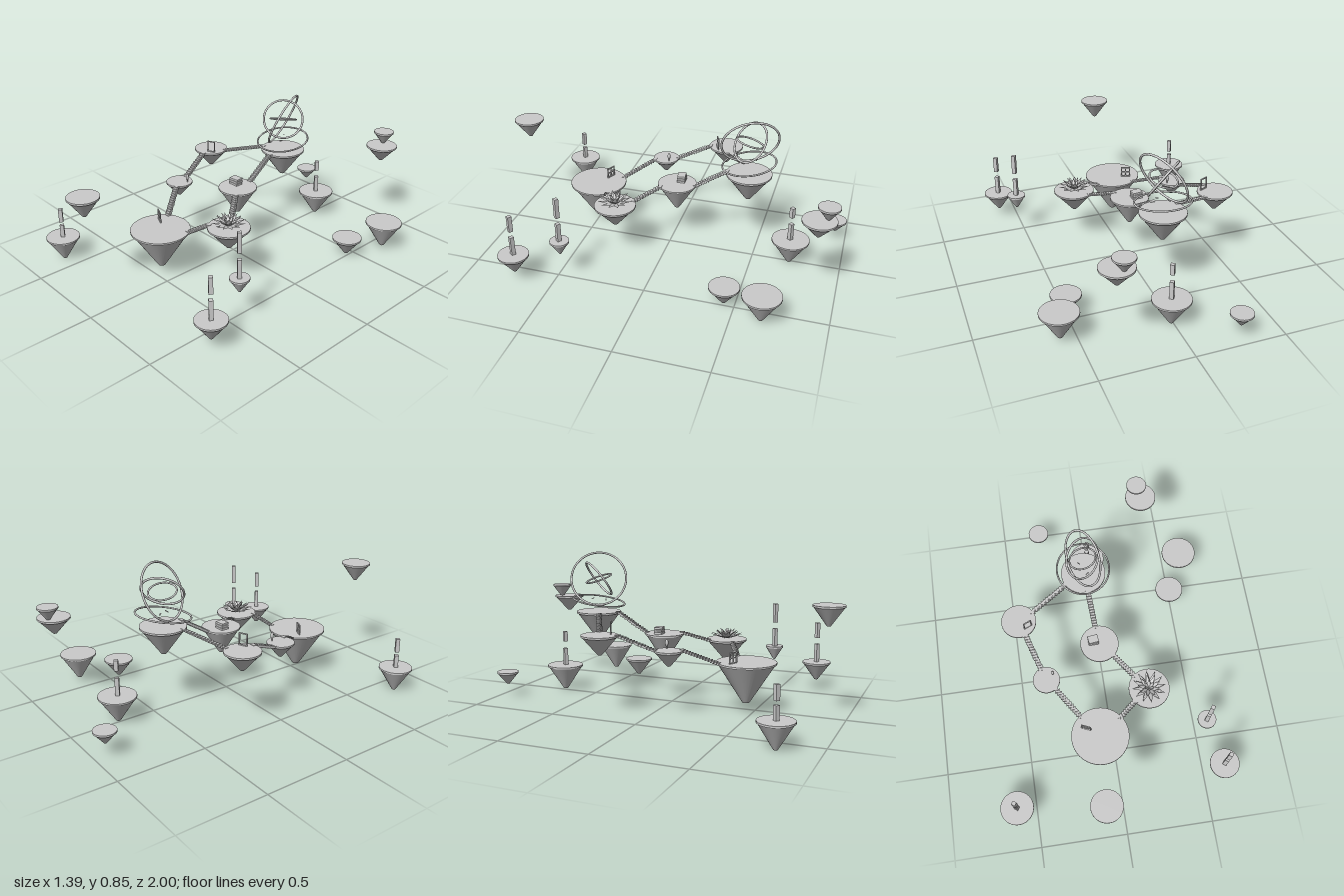
import * as THREE from 'three';

const grey = new THREE.MeshStandardMaterial({ color: 0xcccccc });
const flat = new THREE.MeshStandardMaterial({ color: 0xcccccc, flatShading: true });
const thin = new THREE.MeshStandardMaterial({ color: 0xcccccc, side: THREE.DoubleSide });

function add(parent, name, geometry, x = 0, y = 0, z = 0, material = grey) {
  const mesh = new THREE.Mesh(geometry, material);
  mesh.name = name;
  mesh.position.set(x, y, z);
  parent.add(mesh);
  return mesh;
}

function group(parent, name, x = 0, y = 0, z = 0) {
  const g = new THREE.Group();
  g.name = name;
  g.position.set(x, y, z);
  parent.add(g);
  return g;
}

// x, z, radius, top height, bottom height
const path = [
  [-0.08, 0.47, 0.165, 0.29, 0.063],
  [0.235, 0.25, 0.117, 0.347, 0.223],
  [-0.008, -0.042, 0.11, 0.4, 0.243],
  [-0.043, -0.447, 0.128, 0.51, 0.35],
  [-0.45, -0.227, 0.1, 0.45, 0.342],
  [-0.338, 0.122, 0.077, 0.373, 0.287],
];
const outer = [
  [0.01, -0.713, 0.106, 0.155, 0.007],
  [0.588, -0.657, 0.104, 0.18, 0.027],
  [0.494, -0.442, 0.084, 0.121, 0.018],
  [0.365, -0.883, 0.09, 0.533, 0.437],
  [0.344, -0.923, 0.058, 0.605, 0.527],
  [-0.273, -0.938, 0.062, 0.151, 0.078],
  [0.541, 0.458, 0.053, 0.265, 0.182],
  [0.608, 0.707, 0.085, 0.172, 0.062],
  [-0.604, 0.778, 0.095, 0.142, 0],
  [-0.112, 0.912, 0.085, 0.628, 0.518],
];

// Floating island: thin disc over a blunt inverted cone
function island(parent, [x, z, r, top, bottom]) {
  const g = group(parent, 'island', x, 0, z);
  const rim = 0.01, h = top - rim - bottom;
  add(g, 'islandTop', new THREE.CylinderGeometry(r, r, rim, 40), 0, top - rim / 2, 0);
  add(g, 'islandCone', new THREE.CylinderGeometry(r * 0.96, r * 0.12, h, 40), 0, bottom + h / 2, 0);
}

// Row of small steps from the edge of one island to the edge of the next
function stairs(parent, a, b) {
  const g = group(parent, 'stairs');
  const p = new THREE.Vector3(a[0], a[3] - 0.003, a[1]);
  const q = new THREE.Vector3(b[0], b[3] - 0.003, b[1]);
  const dir = new THREE.Vector3(q.x - p.x, 0, q.z - p.z).normalize();
  p.addScaledVector(dir, a[2] * 0.97);
  q.addScaledVector(dir, -b[2] * 0.97);
  const n = Math.round(p.distanceTo(q) / 0.0165);
  const step = new THREE.BoxGeometry(0.03, 0.011, 0.021);
  for (let i = 0; i <= n; i++) {
    const s = p.clone().lerp(q, i / n);
    add(g, 'step', step, s.x, s.y, s.z);
  }
}

// Ring facing along the given normal
function ring(parent, name, radius, tube, normal, y) {
  const mesh = add(parent, name, new THREE.TorusGeometry(radius, tube, 12, 72), 0, y, 0);
  mesh.quaternion.setFromUnitVectors(new THREE.Vector3(0, 0, 1), new THREE.Vector3(...normal).normalize());
}

// Upright rectangular frame, optionally with crossing bars
function frame(parent, name, x, y, z, w, h, turn, crossed) {
  const g = group(parent, name, x, y, z);
  g.rotation.y = turn;
  const t = 0.006;
  const post = new THREE.BoxGeometry(t, h, t), rail = new THREE.BoxGeometry(w, t, t);
  for (const s of [-1, 1]) {
    add(g, 'framePost', post, s * (w - t) / 2, h / 2, 0);
    add(g, 'frameRail', rail, 0, h / 2 + s * (h - t) / 2, 0);
  }
  if (crossed) {
    add(g, 'middlePost', post, 0, h / 2, 0);
    add(g, 'middleRail', rail, 0, h / 2, 0);
  }
}

// Pillar in two pieces with a gap between them
function brokenPillar(parent, x, z, y0, y1, y2, y3) {
  const g = group(parent, 'brokenPillar', x, 0, z);
  for (const [a, b] of [[y0, y1], [y2, y3]])
    add(g, 'pillarPiece', new THREE.CylinderGeometry(0.016, 0.016, b - a, 4), 0, (a + b) / 2, 0, flat)
      .rotation.y = 0.15;
}

// Flattened petal along +x, widest a third of the way out
function petalGeometry(length) {
  const petal = new THREE.CylinderGeometry(1, 1, length, 6, 6, true);
  const p = petal.attributes.position;
  for (let i = 0; i < p.count; i++) {
    const t = THREE.MathUtils.clamp(p.getY(i) / length + 0.5, 0, 1);
    const swell = 0.002 * (1 - t) + 0.0005 + 0.011 * Math.sin(Math.PI * Math.pow(t, 0.7));
    p.setXYZ(i, t * length, p.getX(i) * swell * 0.3, -p.getZ(i) * swell);
  }
  petal.computeVertexNormals();
  return petal;
}

// Spiky flower: rows of petals, steeper toward the middle
function flower(parent, x, y, z) {
  const g = group(parent, 'flower', x, y, z);
  const rows = [[12, 0.1, 0.3, 0], [9, 0.083, 0.65, 0.2], [6, 0.062, 1.05, 0.4]];
  for (const [count, length, lift, offset] of rows) {
    const petal = petalGeometry(length);
    for (let i = 0; i < count; i++) {
      const holder = group(g, 'petalHolder');
      holder.rotation.y = offset + (i / count) * Math.PI * 2;
      add(holder, 'petal', petal, 0, 0.004, 0, thin).rotation.z = lift;
    }
  }
}

export function createModel() {
  const model = new THREE.Group();
  model.name = 'floatingIslands';

  for (const i of [...path, ...outer]) island(model, i);
  path.forEach((a, i) => stairs(model, a, path[(i + 1) % path.length]));

  // Nested rings above the highest island
  const rings = group(model, 'nestedRings', -0.043, 0, -0.444);
  ring(rings, 'baseRing', 0.15, 0.005, [0, 1, 0.156], 0.57);
  ring(rings, 'largeRing', 0.159, 0.006, [0.84, -0.4, -0.36], 0.7);
  ring(rings, 'middleRing', 0.115, 0.006, [1, 1, 1], 0.7);
  ring(rings, 'smallRing', 0.076, 0.005, [-0.2, 0.95, -0.25], 0.7);
  for (const [x, y, z, turn] of [[0.02, 0.575, 0.035, 0.4], [-0.02, 0.585, -0.03, -0.9]])
    add(rings, 'shard', new THREE.BoxGeometry(0.02, 0.003, 0.006), x, y, z).rotation.set(0, turn, 0.3);

  // Doorway and window
  frame(model, 'doorway', -0.4, 0.45, -0.185, 0.05, 0.07, 0.42, false);
  frame(model, 'window', -0.153, 0.29, 0.418, 0.058, 0.062, -0.42, true);

  // Stack of slabs
  const stack = group(model, 'slabStack', -0.042, 0.4, -0.06);
  for (let i = 0; i < 3; i++)
    add(stack, 'slab', new THREE.BoxGeometry(0.058, 0.011, 0.045), 0, 0.006 + i * 0.014, 0)
      .rotation.y = 0.02 + i * 0.05;

  // Small bud on a stem
  const bud = group(model, 'bud', -0.298, 0.373, 0.094);
  add(bud, 'stem', new THREE.CylinderGeometry(0.003, 0.003, 0.02, 8), 0, 0.01, 0);
  add(bud, 'budHead', new THREE.SphereGeometry(0.009, 12, 10), 0, 0.031, 0).scale.y = 2.2;

  flower(model, 0.232, 0.347, 0.25);

  // Broken pillars on four outer islands
  brokenPillar(model, -0.604, 0.778, 0.14, 0.216, 0.238, 0.317);
  brokenPillar(model, 0.608, 0.707, 0.17, 0.283, 0.32, 0.413);
  brokenPillar(model, 0.541, 0.46, 0.26, 0.372, 0.41, 0.525);
  brokenPillar(model, 0.01, -0.71, 0.15, 0.257, 0.3, 0.36);
  return model;
}
